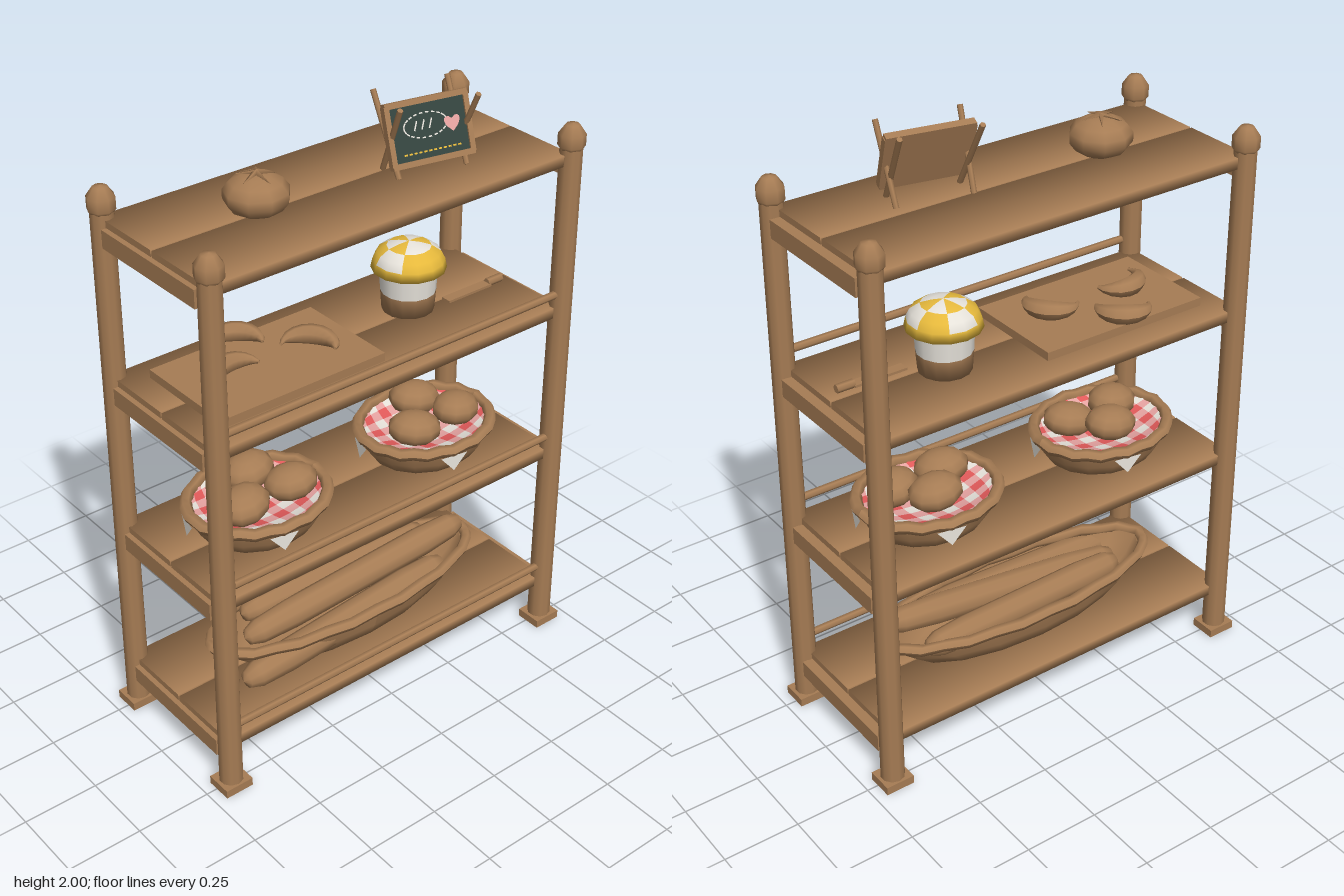
import * as THREE from 'three';

const mat = (name, color, side = THREE.FrontSide) => {
  const m = new THREE.MeshStandardMaterial({ color, side });
  m.name = name;
  return m;
};

export function createModel() {
  const wood = mat('wood brown', 0xa67c54, THREE.DoubleSide);
  const white = mat('cream white', 0xe6e2da, THREE.DoubleSide);
  const yellow = mat('icing yellow', 0xe6b93c, THREE.DoubleSide);
  const red = mat('cloth red', 0xe25a5a, THREE.DoubleSide);
  const pink = mat('cloth pink', 0xeaa6a4, THREE.DoubleSide);
  const slate = mat('slate green', 0x34443f);

  const root = new THREE.Group();
  root.name = 'bakeryShelf';
  const group = (name, parent = root, x = 0, y = 0, z = 0) => {
    const g = new THREE.Group();
    g.name = name;
    g.position.set(x, y, z);
    parent.add(g);
    return g;
  };
  const add = (name, geo, material, parent = root, x = 0, y = 0, z = 0) => {
    const m = new THREE.Mesh(geo, material);
    m.name = name;
    m.position.set(x, y, z);
    parent.add(m);
    return m;
  };
  const box = (w, h, d) => new THREE.BoxGeometry(w, h, d);
  const lathe = (pts, n) => new THREE.LatheGeometry(pts.map(p => new THREE.Vector2(...p)), n);
  // Rod between two points
  const rod = (name, a, b, r, parent = root, sides = 6) => {
    const p = new THREE.Vector3(...a), q = new THREE.Vector3(...b);
    const m = add(name, new THREE.CylinderGeometry(r, r, p.distanceTo(q), sides), wood, parent);
    m.position.copy(p).add(q).multiplyScalar(0.5);
    m.quaternion.setFromUnitVectors(new THREE.Vector3(0, 1, 0), q.sub(p).normalize());
    return m;
  };

  // Corner posts with feet and knobs
  for (const sx of [-1, 1]) for (const sz of [-1, 1]) {
    const post = group('post', root, sx * 0.663, 0, sz * 0.26);
    add('postShaft', new THREE.CylinderGeometry(0.036, 0.039, 1.79, 10), wood, post, 0, 0.895, 0);
    add('foot', box(0.098, 0.028, 0.09), wood, post, 0, 0.014, 0);
    add('knob', lathe([[0.036, 1.785], [0.043, 1.795], [0.043, 1.832], [0.022, 1.862], [0, 1.866]], 8), wood, post);
  }

  // Plank with softly rounded shading along its length
  const plankGeo = new THREE.CylinderGeometry(Math.SQRT1_2, Math.SQRT1_2, 1, 4, 1, false, Math.PI / 4);
  plankGeo.rotateZ(Math.PI / 2);
  plankGeo.attributes.position.applyMatrix4(new THREE.Matrix4().makeScale(1.33, 0.036, 0.263));

  // Shelves: two planks, end beams, front rail
  const tops = [0.19, 0.72, 1.25, 1.77];
  tops.forEach((y, i) => {
    for (const s of [-1, 1]) {
      add('plank', plankGeo, wood, root, -0.008, y - 0.018, s * 0.135);
      add('endBeam', box(0.036, 0.058, 0.45), wood, root, s * 0.672, y - 0.05, 0);
    }
    if (i < 3) rod('frontRail', [-0.65, y + 0.047, 0.265], [0.65, y + 0.047, 0.265], 0.013);
  });

  // Woven basket: elliptical bowl with a wavy rim
  const basket = (x, y, rx, rz, h) => {
    const g = group('basket', root, x, y, 0);
    const bowl = lathe([[0, 0.004], [0.74, 0.004], [0.86, h * 0.45], [0.93, h]], 16);
    bowl.scale(rx, 1, rz);
    bowl.computeVertexNormals();
    add('basketBowl', bowl, wood, g);
    const rim = new THREE.TorusGeometry(1, 0.02, 6, 32);
    const p = rim.attributes.position;
    for (let i = 0; i < p.count; i++) {
      const a = Math.atan2(p.getY(i), p.getX(i));
      const r = Math.hypot(p.getX(i), p.getY(i)) - 1;
      p.setXYZ(i, Math.cos(a) * (rx - 0.02 + r), p.getZ(i) + 0.004 * Math.cos(16 * a), -Math.sin(a) * (rz - 0.02 + r));
    }
    rim.rotateX(0);
    rim.computeVertexNormals();
    add('basketRim', rim, wood, g, 0, h, 0);
    return g;
  };

  // Gingham cloth: square grid pressed into an ellipse
  const clothGeo = (rx, rz) => {
    const n = 10;
    const g = new THREE.PlaneGeometry(2, 2, n, n);
    const p = g.attributes.position;
    for (let i = 0; i < p.count; i++) {
      const x = p.getX(i), y = p.getY(i);
      const u = x * Math.sqrt(1 - y * y / 2), v = y * Math.sqrt(1 - x * x / 2);
      p.setXYZ(i, u * rx, 0.045 * (u * u + v * v), -v * rz);
    }
    for (let k = 0; k < n * n; k++) g.addGroup(k * 6, 6, (k % n) % 2 + Math.floor(k / n) % 2);
    g.computeVertexNormals();
    return g;
  };

  // Roll baskets
  for (const [x, flip] of [[-0.345, 1], [0.335, -1]]) {
    const g = basket(x, 0.72, 0.25, 0.215, 0.1);
    add('checkedCloth', clothGeo(0.225, 0.192), [white, pink, red], g, 0, 0.06, 0);
    // Cloth corners hanging over the rim
    for (let k = 0; k < 4; k++) {
      const a = k * Math.PI / 2 + 0.2, at = (t, s, y) => [Math.cos(t) * 0.25 * s, y, Math.sin(t) * 0.215 * s];
      const tri = new THREE.BufferGeometry();
      tri.setAttribute('position', new THREE.Float32BufferAttribute(
        [...at(a - 0.2, 0.98, 0.085), ...at(a + 0.2, 0.98, 0.085), ...at(a, 0.97, 0.03)], 3));
      tri.computeVertexNormals();
      add('clothCorner', tri, white, g);
    }
    for (const [bx, by, bz, r, ry] of [[-0.085, 0.13, 0.05, 0.09, 0.3], [0.1, 0.13, 0.04, 0.088, -0.3], [0.02, 0.145, -0.075, 0.09, 0.1]]) {
      const roll = add('breadRoll', new THREE.SphereGeometry(r, 10, 7), wood, g, bx, by, bz);
      roll.scale.set(1, 0.6, 0.85);
      roll.rotation.set(0, ry * flip, 0.12 * flip);
    }
  }

  // Long basket with baguettes
  const long = basket(-0.005, 0.19, 0.545, 0.195, 0.115);
  const baguette = (a, b, r) => {
    const m = rod('baguette', a, b, r, long, 10);
    const len = m.geometry.parameters.height;
    m.geometry = lathe([[0, -0.5], [0.55, -0.485], [0.85, -0.44], [1, -0.3], [1, 0.3], [0.85, 0.44], [0.55, 0.485], [0, 0.5]]
      .map(([u, v]) => [u * r, v * len]), 10);
  };
  baguette([-0.4, 0.085, -0.01], [0.5, 0.17, 0.02], 0.05);
  baguette([-0.36, 0.12, -0.08], [0.42, 0.105, -0.09], 0.05);
  baguette([-0.5, 0.045, 0.12], [0.36, 0.1, 0.09], 0.052);

  // Cutting board with crescent pastries
  add('cuttingBoard', box(0.6, 0.028, 0.36), wood, root, -0.29, 1.264, 0);
  for (const [x, z, ry] of [[-0.42, 0.04, 0.2], [-0.33, -0.11, -0.6], [-0.17, 0.04, -0.9]]) {
    const geo = new THREE.TorusGeometry(0.068, 0.032, 7, 10, Math.PI * 1.05);
    const p = geo.attributes.position;
    for (let i = 0; i < p.count; i++) {
      const a = Math.atan2(p.getY(i), p.getX(i));
      const t = 0.15 + 0.85 * Math.max(0, Math.sin(a));
      p.setXYZ(i, 0.068 * Math.cos(a) * 1.2 + (p.getX(i) - 0.068 * Math.cos(a)) * t,
        0.068 * Math.sin(a) + (p.getY(i) - 0.068 * Math.sin(a)) * t, p.getZ(i) * t);
    }
    geo.rotateX(-Math.PI / 2);
    geo.computeVertexNormals();
    add('crescentPastry', geo, wood, root, x, 1.306, z).rotation.y = ry;
  }

  // Knife beside the cake
  add('knifeBlade', box(0.18, 0.008, 0.035), wood, root, 0.475, 1.262, 0.03);
  rod('knifeHandle', [0.56, 1.266, 0.03], [0.62, 1.266, 0.03], 0.014);

  // Cupcake with patched icing dome
  const cake = group('cupcake', root, 0.28, 1.25, -0.03);
  add('cakeBase', lathe([[0, 0], [0.083, 0], [0.088, 0.065]], 14), wood, cake);
  add('cakeBody', lathe([[0.088, 0.065], [0.092, 0.15]], 14), white, cake);
  const rows = [[0.088, 0.145], [0.119, 0.143], [0.113, 0.172], [0.1, 0.197], [0.07, 0.217], [0.035, 0.227], [0, 0.232]];
  const dome = lathe(rows, 14);
  const bands = rows.length - 1;
  // the pole band holds the same index count as the others
  for (let s = 0; s < 14; s++) for (let b = 0; b < bands; b++) {
    const patch = b >= 2 && (Math.floor(s / 2) + Math.floor(b / 2)) % 2 === 0;
    dome.addGroup((s * bands + b) * 6, 6, patch ? 1 : 0);
  }
  add('cakeIcing', dome, [yellow, white], cake);

  // Round fruit with a star of leaves
  const fruit = group('roundFruit', root, -0.315, 1.77, 0);
  add('fruitBody', new THREE.SphereGeometry(0.1, 9, 7), wood, fruit, 0, 0.061, 0).scale.y = 0.64;
  for (let k = 0; k < 5; k++) {
    const a = k * Math.PI * 0.4 + 0.3;
    const leaf = rod('leaf', [0, 0.127, 0], [Math.cos(a) * 0.065, 0.115, Math.sin(a) * 0.065], 0.008, fruit, 4);
    leaf.geometry = new THREE.ConeGeometry(0.011, 0.066, 4);
  }

  // Chalkboard sign on crossed legs
  const sign = group('chalkSign', root, 0.26, 1.77, 0.06);
  sign.rotation.y = -0.19;
  for (const s of [-1, 1]) {
    rod('easelBackLeg', [s * 0.115, 0, 0.045], [s * 0.125, 0.23, -0.1], 0.009, sign);
    rod('easelFrontLeg', [s * 0.12, 0, -0.045], [s * 0.13, 0.228, 0.07], 0.009, sign);
  }
  const panel = group('signPanel', sign, 0, 0.122, 0.012);
  panel.rotation.x = -0.36;
  add('slate', box(0.25, 0.165, 0.012), slate, panel);
  add('slateBack', box(0.25, 0.165, 0.006), wood, panel, 0, 0, -0.009);
  for (const s of [-1, 1]) {
    add('frameBar', box(0.276, 0.017, 0.024), wood, panel, 0, s * 0.088, 0);
    add('frameSide', box(0.017, 0.176, 0.024), wood, panel, s * 0.132, 0, 0);
  }
  // Chalk drawing: dashed loaf outline, heart, dotted line
  for (let k = 0; k < 22; k++) {
    const a = k / 22 * Math.PI * 2;
    add('chalkDash', box(0.011, 0.004, 0.002), white, panel, -0.012 + Math.cos(a) * 0.072, 0.016 + Math.sin(a) * 0.036, 0.007)
      .rotation.z = Math.atan2(Math.cos(a) * 0.036, -Math.sin(a) * 0.072);
  }
  for (const x of [-0.045, -0.02, 0.005])
    add('chalkScore', box(0.004, 0.03, 0.002), white, panel, x, 0.018, 0.007).rotation.z = -0.4;
  for (let k = 0; k < 12; k++)
    add('chalkDot', box(0.01, 0.005, 0.002), yellow, panel, -0.09 + k * 0.0164, -0.06, 0.007);
  const h = new THREE.Shape();
  h.moveTo(0, -0.024);
  h.bezierCurveTo(-0.05, 0.012, -0.018, 0.036, 0, 0.014);
  h.bezierCurveTo(0.018, 0.036, 0.05, 0.012, 0, -0.024);
  add('heart', new THREE.ShapeGeometry(h, 6), pink, panel, 0.076, 0.005, 0.0085);

  return root;
}
